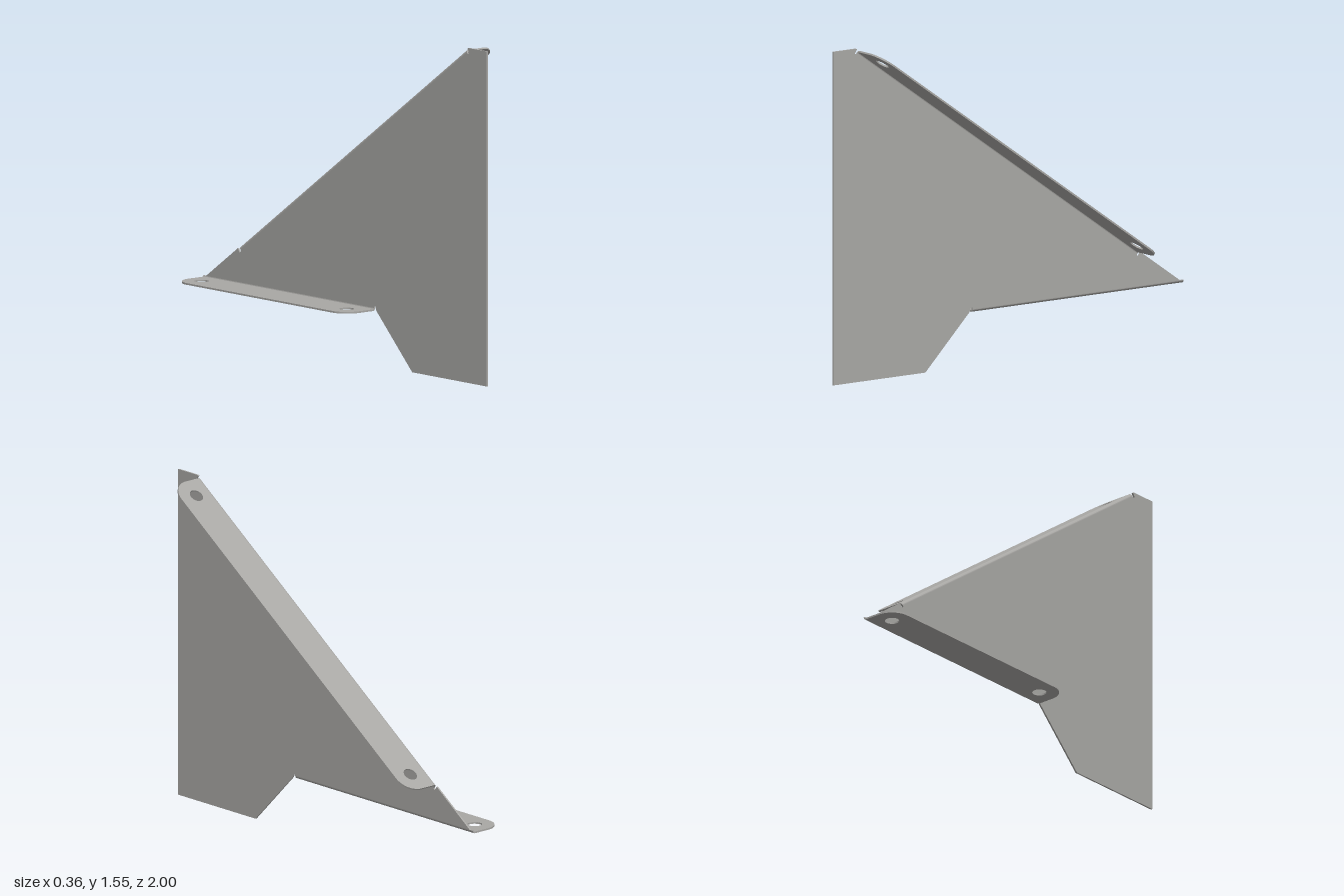
import * as THREE from 'three';
import { toCreasedNormals } from 'three/addons/utils/BufferGeometryUtils.js';

const T = 0.008;          // sheet thickness
const RI = 0.006;         // inner bend radius
const R = RI + T;         // outer bend radius
const WIDTH = 0.18;       // flange reach from the sheet
const CORNER = 0.09;      // flange corner radius, concentric with the holes
const HOLE = 0.033;
const BASE_Y = 0.25;

const steel = new THREE.MeshStandardMaterial({ color: 0xa8a7a4 });
steel.name = 'grey steel';

function extrude(shape, depth) {
  return new THREE.ExtrudeGeometry(shape, { depth, bevelEnabled: false, curveSegments: 16 });
}

function part(name, geometry) {
  const mesh = new THREE.Mesh(toCreasedNormals(geometry, 0.5), steel);
  mesh.name = name;
  return mesh;
}

// Folded flange: local x reaches outwards, y points into the sheet, z runs along the fold
function makeFlange(name, length) {
  const group = new THREE.Group();
  group.name = name;
  const cx = T / 2 + RI, h = length / 2;

  // Quarter-round bend
  const ring = new THREE.Shape();
  ring.absarc(cx, R, R, Math.PI, Math.PI * 1.5, false);
  ring.lineTo(cx, T);
  ring.absarc(cx, R, RI, Math.PI * 1.5, Math.PI, true);
  ring.closePath();
  group.add(part(name + 'Bend', extrude(ring, length).translate(0, 0, -h)));

  // Flat tab with two rounded corners and two bolt holes
  const tab = new THREE.Shape();
  tab.moveTo(cx, -h);
  tab.lineTo(WIDTH - CORNER, -h);
  tab.absarc(WIDTH - CORNER, -h + CORNER, CORNER, -Math.PI / 2, 0, false);
  tab.lineTo(WIDTH, h - CORNER);
  tab.absarc(WIDTH - CORNER, h - CORNER, CORNER, 0, Math.PI / 2, false);
  tab.lineTo(cx, h);
  tab.closePath();
  for (const s of [-1, 1]) {
    const hole = new THREE.Path();
    hole.absarc(WIDTH - CORNER, s * (h - CORNER), HOLE, 0, Math.PI * 2, true);
    tab.holes.push(hole);
  }
  group.add(part(name + 'Tab', extrude(tab, T).rotateX(-Math.PI / 2)));
  return group;
}

export function createModel() {
  const model = new THREE.Group();
  model.name = 'gussetBracket';

  // Sloping edge, from the rear tip up to the front top
  const tip = { z: -1, y: BASE_Y }, top = { z: 0.87, y: 1.55 };
  const run = Math.hypot(top.z - tip.z, top.y - tip.y);
  const c = (top.z - tip.z) / run, s = (top.y - tip.y) / run;
  // Point on the slope at a given z, moved inwards by k; shape x is -z
  const onSlope = (z, k) => {
    const y = tip.y + (z - tip.z) * s / c;
    return [-(z + s * k), y - c * k];
  };
  const z0 = -0.745, z1 = 0.855, gap = 0.01, deep = 0.022;
  const foldY = BASE_Y + R;

  // Upright sheet, with small relief notches at the ends of the folds
  const outline = [
    [-1, 0], [-0.475, 0], [-0.222, 0.253],
    [-0.215, BASE_Y + deep], [-0.205, BASE_Y + deep], [-0.205, foldY],
    onSlope(-1 + R * c / s, 0),
    onSlope(z0 - gap, 0), onSlope(z0 - gap, deep), onSlope(z0, deep), onSlope(z0, R),
    onSlope(z1, R), onSlope(z1, deep), onSlope(z1 + gap, deep), onSlope(z1 + gap, 0),
    [-top.z, top.y], [-1, top.y],
  ].map(([a, b]) => new THREE.Vector2(a, b));
  const sheet = extrude(new THREE.Shape(outline), T).translate(0, 0, -T / 2).rotateY(Math.PI / 2);
  model.add(part('uprightSheet', sheet));

  // Level flange, folded to the right
  const level = makeFlange('levelFlange', 1.205);
  level.rotation.y = Math.PI;
  level.position.set(0, BASE_Y, (-1 + 0.205) / 2);
  model.add(level);

  // Sloping flange, folded to the left
  const slope = makeFlange('slopingFlange', (z1 - z0) / c);
  slope.quaternion.setFromRotationMatrix(new THREE.Matrix4().makeBasis(
    new THREE.Vector3(1, 0, 0), new THREE.Vector3(0, -c, s), new THREE.Vector3(0, -s, -c)));
  const mid = onSlope((z0 + z1) / 2, 0);
  slope.position.set(0, mid[1], -mid[0]);
  model.add(slope);

  return model;
}
